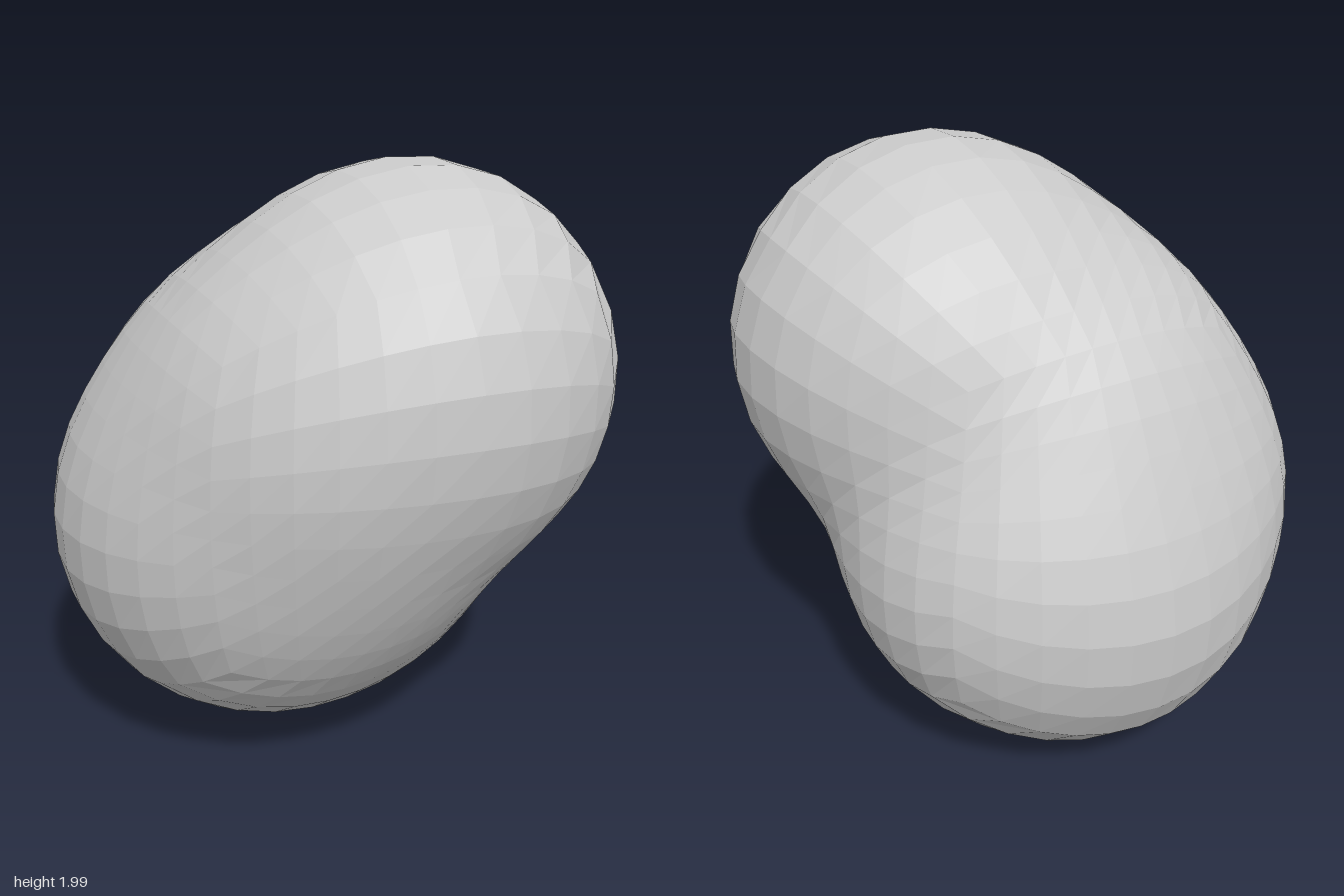
import * as THREE from 'three';

// Overlapping balls that melt into one body: x, y, z, radius
const BALLS = [
  [0.22, 1.328, 0.205, 0.673], // upper front
  [-0.06, 0.635, -0.25, 0.62], // lower back
  [0.10, 0.72, -0.20, 0.62],   // lower left side
  [-0.20, 0.80, -0.08, 0.69],  // lower right side
  [-0.03, 1.00, 0.02, 0.70],   // core filling the gaps between them
  [-0.05, 1.20, 0.20, 0.575],  // front shoulder
  [-0.08, 1.15, -0.10, 0.54],  // back shoulder
];
const BLEND = 0.06;
const CORE = new THREE.Vector3(0, 1, 0);

// Smooth union of the balls: negative inside, positive outside
function field(p) {
  let sum = 0;
  for (const [x, y, z, r] of BALLS) {
    const d = Math.hypot(p.x - x, p.y - y, p.z - z) - r;
    sum += Math.exp(-d / BLEND);
  }
  return -BLEND * Math.log(sum);
}

// Walk from the core along a direction to the surface
function surfacePoint(dir) {
  const p = new THREE.Vector3();
  let near = 0, far = 1.8;
  for (let i = 0; i < 30; i++) {
    const mid = (near + far) / 2;
    p.copy(CORE).addScaledVector(dir, mid);
    if (field(p) < 0) near = mid; else far = mid;
  }
  return p;
}

export function createModel() {
  const group = new THREE.Group();
  group.name = 'blob';

  // A gridded cube, inflated evenly and pushed out to the blended surface
  const geometry = new THREE.BoxGeometry(2, 2, 2, 10, 10, 10);
  const pos = geometry.attributes.position;
  const dir = new THREE.Vector3();
  const even = (t) => Math.tan(t * Math.PI / 4);
  for (let i = 0; i < pos.count; i++) {
    dir.set(even(pos.getX(i)), even(pos.getY(i)), even(pos.getZ(i))).normalize();
    const p = surfacePoint(dir);
    pos.setXYZ(i, p.x, p.y, p.z);
  }
  geometry.computeVertexNormals();

  const body = new THREE.Mesh(
    geometry,
    new THREE.MeshStandardMaterial({ color: 0xcccccc, flatShading: true })
  );
  body.name = 'blendedBody';
  group.add(body);
  return group;
}
